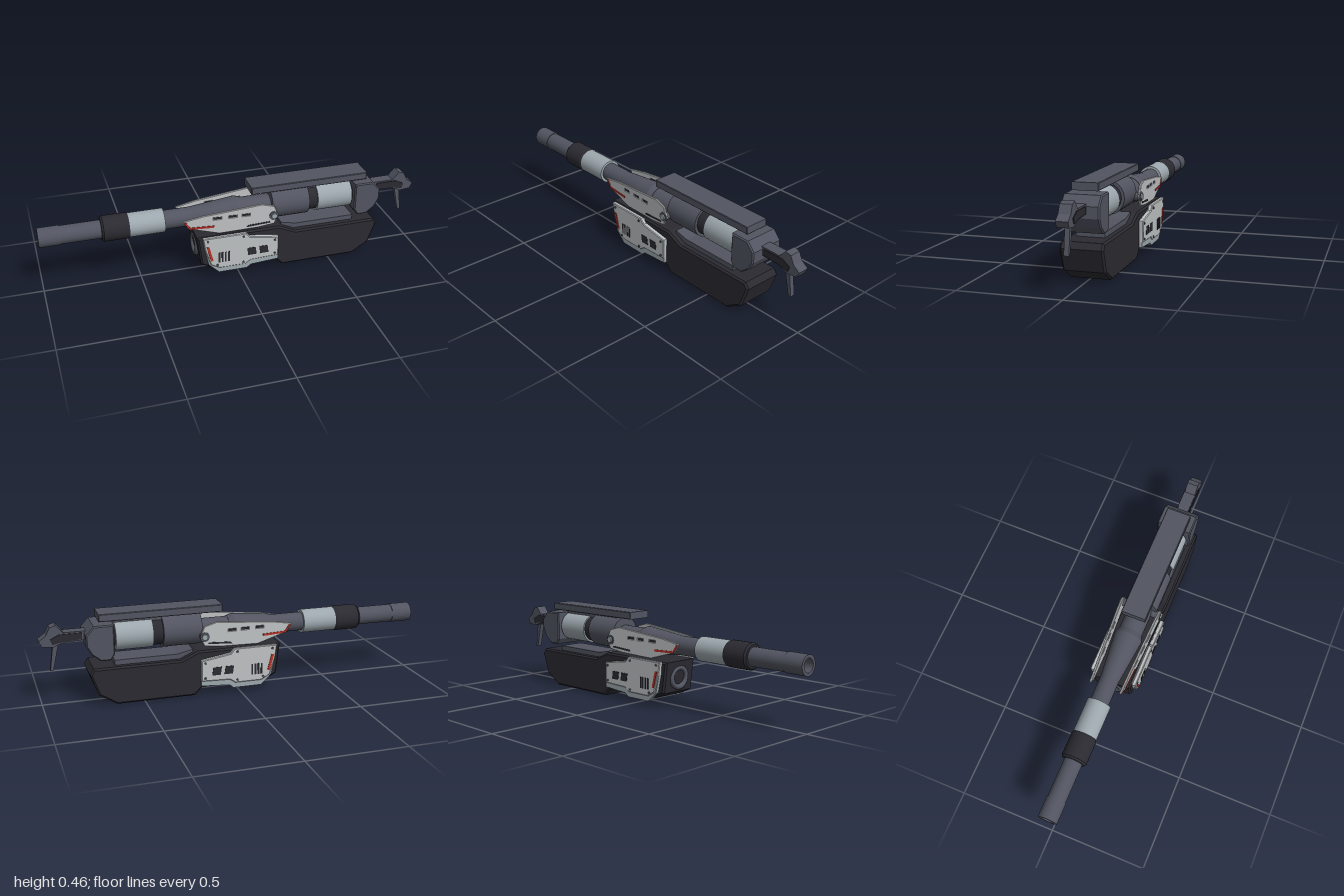
import * as THREE from 'three';

const material = (name, color, side = THREE.FrontSide) => {
  const m = new THREE.MeshStandardMaterial({ color, side });
  m.name = name;
  return m;
};

export function createModel() {
  const model = new THREE.Group();
  model.name = 'heavyCannon';
  const gray = material('gunmetal', 0x525561);
  const dark = material('darkCasing', 0x2b2a31);
  const light = material('plateGray', 0xbfc2c4);
  const silver = material('sleeveSilver', 0x9da8ae);
  const red = material('redStripe', 0xb53228);
  const bore = material('boreGray', 0x525561, THREE.DoubleSide);

  const add = (name, geometry, mat, parent = model) => {
    const mesh = new THREE.Mesh(geometry, mat);
    mesh.name = name;
    parent.add(mesh);
    return mesh;
  };

  // Side profile in x/y, extruded to a total thickness and centred on z
  const slab = (name, points, thickness, mat, { bevel = 0, z = 0, parent = model, holes = [] } = {}) => {
    const shape = new THREE.Shape(points.map(p => new THREE.Vector2(...p)));
    for (const h of holes) shape.holes.push(new THREE.Path(h.map(p => new THREE.Vector2(...p))));
    const depth = thickness - 2 * bevel;
    const geometry = new THREE.ExtrudeGeometry(shape, {
      depth, bevelEnabled: bevel > 0, bevelThickness: bevel,
      bevelSize: bevel, bevelOffset: -bevel, bevelSegments: 1,
    });
    geometry.translate(0, 0, -depth / 2);
    const mesh = add(name, geometry, mat, parent);
    mesh.position.z = z;
    return mesh;
  };
  const rect = (x0, x1, y0, y1, lean = 0) =>
    [[x0, y0], [x1, y0], [x1 + lean, y1], [x0 + lean, y1]];

  // Cylinder along x, with separate radii at its two ends
  const tube = (name, x0, x1, r0, r1, y, mat, open = false) => {
    const g = new THREE.CylinderGeometry(r1, r0, x1 - x0, 32, 1, open);
    g.rotateZ(-Math.PI / 2);
    add(name, g, mat).position.set((x0 + x1) / 2, y, 0);
  };

  // Barrel
  const axis = 0.315;
  const muzzle = new THREE.LatheGeometry([[0, 0.12], [0.034, 0.12], [0.034, 0], [0.05, 0], [0.05, 0.11], [0.045, 0.11]]
    .map(p => new THREE.Vector2(...p)), 32);
  muzzle.rotateZ(-Math.PI / 2);
  const muzzleMesh = add('muzzle', muzzle.toNonIndexed(), bore);
  muzzleMesh.geometry.computeVertexNormals();
  muzzleMesh.position.set(-1, axis, 0);
  tube('barrel', -0.89, -0.68, 0.047, 0.047, axis, gray);
  tube('darkSleeve', -0.68, -0.56, 0.066, 0.066, axis, dark);
  tube('darkSleeveFrontRim', -0.69, -0.68, 0.058, 0.066, axis, dark);
  tube('darkSleeveRearRim', -0.56, -0.55, 0.066, 0.062, axis, dark);
  tube('silverSleeve', -0.55, -0.37, 0.062, 0.062, axis, silver);
  tube('barrelNeck', -0.37, -0.23, 0.049, 0.049, axis, gray);
  tube('barrelCone', -0.23, 0.01, 0.049, 0.074, axis, gray);
  tube('barrelShoulder', 0.01, 0.04, 0.074, 0.064, axis, gray);
  tube('innerTube', 0.04, 0.2, 0.062, 0.062, axis, gray);

  // Breech cylinders under the top rail
  tube('breechDrum', 0.19, 0.39, 0.085, 0.085, 0.335, gray);
  tube('breechRing', 0.39, 0.44, 0.07, 0.07, 0.335, dark);
  tube('breechSleeve', 0.44, 0.63, 0.078, 0.078, 0.333, silver);
  tube('breechCore', 0.6, 0.66, 0.06, 0.06, 0.333, dark);
  slab('topRail', rect(0.08, 0.71, 0.422, 0.46), 0.13, gray, { bevel: 0.003 });
  slab('railMount', rect(0.21, 0.63, 0.37, 0.425), 0.06, gray);
  slab('rearBlock', [[0.64, 0.26], [0.66, 0.23], [0.71, 0.23], [0.755, 0.265], [0.78, 0.31],
    [0.78, 0.365], [0.74, 0.41], [0.64, 0.41]], 0.184, gray, { bevel: 0.006 });

  // Tail
  slab('tailArm', [[0.77, 0.33], [0.88, 0.325], [0.93, 0.305], [0.985, 0.31], [1, 0.34],
    [0.965, 0.365], [0.945, 0.405], [0.915, 0.415], [0.88, 0.375], [0.77, 0.375]], 0.058, gray);
  for (const s of [1, -1]) {
    slab('tailInlay', [[0.79, 0.335], [0.88, 0.33], [0.935, 0.318], [0.945, 0.345], [0.9, 0.368], [0.79, 0.368]],
      0.005, dark, { z: s * 0.031 });
  }
  slab('tailFin', [[0.905, 0.31], [0.935, 0.18], [0.95, 0.18], [0.932, 0.31]], 0.024, gray);

  // Lower casing
  slab('lowerCasing', [[-0.22, 0.24], [-0.2, 0.08], [-0.14, 0.05], [0.2, 0.045], [0.24, 0.005],
    [0.64, 0.005], [0.73, 0.06], [0.77, 0.17], [0.75, 0.2], [0.31, 0.2], [0.22, 0.24]],
  0.208, dark, { bevel: 0.009 }).position.y = -0.004;
  slab('casingTopStrip', [[0.24, 0.19], [0.64, 0.19], [0.64, 0.222], [0.32, 0.222], [0.24, 0.24]], 0.14, gray);
  const port = new THREE.TorusGeometry(0.05, 0.014, 10, 28);
  port.rotateY(Math.PI / 2);
  add('frontPort', port, gray).position.set(-0.207, 0.15, 0);

  for (const s of [1, -1]) {
    const side = new THREE.Group();
    side.name = s > 0 ? 'frontSidePlates' : 'backSidePlates';
    model.add(side);
    const stud = (name, x, y, z, r, h, mat, parent = side) => {
      const g = new THREE.CylinderGeometry(r, r, h, 16);
      g.rotateX(Math.PI / 2);
      add(name, g, mat, parent).position.set(x, y, s * z);
    };

    // Lower armour plate, with its thin outer panel
    slab('lowerBackingPlate', [[-0.19, 0.235], [-0.185, 0.17], [-0.165, 0.08], [-0.11, 0.028], [0.04, 0.028],
      [0.06, 0.045], [0.21, 0.055], [0.21, 0.19], [0.05, 0.215], [0.035, 0.235]],
    0.02, silver, { z: s * 0.111, parent: side });
    slab('lowerArmorPlate', [[-0.195, 0.24], [-0.185, 0.17], [-0.155, 0.08], [-0.11, 0.055], [0.03, 0.055],
      [0.06, 0.075], [0.21, 0.08], [0.21, 0.19], [0.055, 0.215], [0.035, 0.24]],
    0.022, light, { bevel: 0.004, z: s * 0.115, parent: side });
    slab('lowerRedStripe', [[-0.178, 0.19], [-0.155, 0.105], [-0.142, 0.105], [-0.163, 0.19]],
      0.004, red, { z: s * 0.127, parent: side });
    for (let i = 0; i < 4; i++) {
      const x = -0.115 + i * 0.017;
      slab('ventSlot', rect(x, x + 0.009, 0.09, 0.148), 0.003, dark, { z: s * 0.1265, parent: side });
    }
    for (const x of [0.045, 0.11]) {
      slab('window', rect(x, x + 0.045, 0.108, 0.15, -0.006), 0.003, dark, { z: s * 0.1265, parent: side });
    }
    for (const [x, y] of [[-0.17, 0.222], [0.02, 0.222], [0.19, 0.175], [0.19, 0.095], [-0.12, 0.075], [0.02, 0.07]]) {
      stud('screw', x, y, 0.127, 0.006, 0.007, gray);
    }

    // Upper armour plate, toed in towards the muzzle
    const upper = new THREE.Group();
    upper.name = 'upperPlate';
    upper.position.z = s * 0.094;
    upper.rotation.y = -s * 0.045;
    side.add(upper);
    const slots = [-0.13, -0.05, 0.02].map(x => rect(x, x + 0.04, 0.328, 0.338));
    slab('upperArmorPlate', [[-0.29, 0.335], [-0.26, 0.29], [-0.1, 0.243], [0.1, 0.25], [0.19, 0.262],
      [0.213, 0.31], [0.19, 0.365], [0.125, 0.383], [-0.18, 0.355]],
    0.012, light, { bevel: 0.003, parent: upper, holes: slots });
    for (const hole of slots) {
      slab('upperSlot', hole, 0.008, dark, { parent: upper });
    }
    slab('upperRedStripe', [[-0.283, 0.329], [-0.255, 0.288], [-0.13, 0.283], [-0.125, 0.294], [-0.25, 0.298], [-0.273, 0.332]],
      0.004, red, { z: s * 0.007, parent: upper });
    slab('upperRecess', [[0.04, 0.262], [0.17, 0.272], [0.165, 0.28], [0.05, 0.272]],
      0.003, dark, { z: s * 0.0065, parent: upper });
    stud('pivotCollar', 0.187, 0.31, 0.106, 0.025, 0.01, gray);
    stud('pivotBolt', 0.187, 0.31, 0.111, 0.015, 0.014, silver);
  }

  // Cross pin carrying the upper plates
  const pin = new THREE.CylinderGeometry(0.022, 0.022, 0.2, 16);
  pin.rotateX(Math.PI / 2);
  add('crossPin', pin, gray).position.set(0.187, 0.31, 0);

  return model;
}
